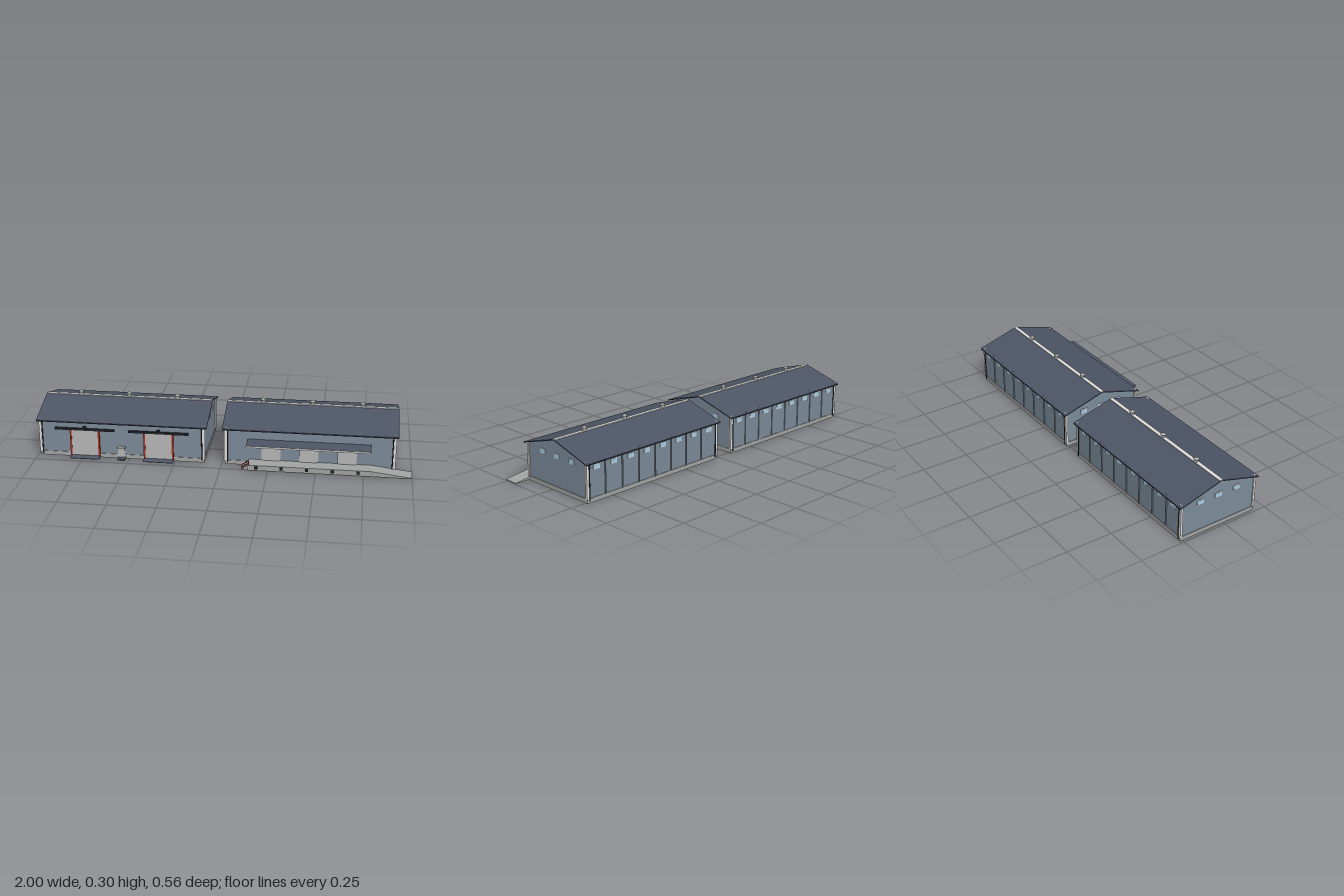
import * as THREE from 'three';

const mat = (name, color) => {
  const m = new THREE.MeshStandardMaterial({ color });
  m.name = name;
  return m;
};

export function createModel() {
  const wall = mat('wall blue grey', 0x7c8c9a);
  const slate = mat('roof slate', 0x4d5566);
  const concrete = mat('concrete', 0xa3a5a4);
  const trim = mat('light trim', 0xe2dfdd);
  const dark = mat('dark metal', 0x24272d);
  const red = mat('red frame', 0xb5301f);
  const glass = mat('window glass', 0xa8d0ea);
  const door = mat('door grey', 0xb7b8b7);

  const model = new THREE.Group();
  model.name = 'warehouses';

  const add = (parent, name, geo, m, x = 0, y = 0, z = 0) => {
    const mesh = new THREE.Mesh(geo, m);
    mesh.name = name;
    mesh.position.set(x, y, z);
    parent.add(mesh);
    return mesh;
  };
  // Box given by its extents on each axis
  const box = (parent, name, m, [x0, x1], [y0, y1], [z0, z1]) =>
    add(parent, name, new THREE.BoxGeometry(x1 - x0, y1 - y0, z1 - z0), m,
      (x0 + x1) / 2, (y0 + y1) / 2, (z0 + z1) / 2);
  // Outline in (z, y) extruded along x, centred
  const alongX = (points, length) => {
    const shape = new THREE.Shape(points.map(([z, y]) => new THREE.Vector2(z, y)));
    return new THREE.ExtrudeGeometry(shape, { depth: length, bevelEnabled: false })
      .translate(0, 0, -length / 2).rotateY(-Math.PI / 2);
  };
  // Outline in (x, y) extruded along z from z0 to z1
  const alongZ = (points, z0, z1) => {
    const shape = new THREE.Shape(points.map(([x, y]) => new THREE.Vector2(x, y)));
    return new THREE.ExtrudeGeometry(shape, { depth: z1 - z0, bevelEnabled: false }).translate(0, 0, z0);
  };
  // Round bar between two points
  const bar = (parent, name, m, a, b, r) => {
    const p = new THREE.Vector3(...a), q = new THREE.Vector3(...b);
    return add(parent, name, new THREE.TubeGeometry(new THREE.LineCurve3(p, q), 1, r, 6), m);
  };

  const ridgeZ = -0.04, front = 0.185, back = -0.265;

  // Framed window facing +z in its own group
  const addWindow = (parent, x, y, z, turn) => {
    const g = new THREE.Group();
    g.name = 'window';
    box(g, 'windowFrame', trim, [-0.0195, 0.0195], [-0.013, 0.013], [-0.002, 0.003]);
    box(g, 'windowPane', glass, [-0.0168, 0.0168], [-0.0103, 0.0103], [0, 0.0038]);
    g.position.set(x, y, z);
    g.rotation.y = turn;
    parent.add(g);
  };

  // Shared hall: base, walls, roof, corners, windows and vents
  const makeHall = (name, cx) => {
    const hall = new THREE.Group();
    hall.name = name;
    hall.position.x = cx;
    model.add(hall);
    box(hall, 'base', concrete, [-0.447, 0.447], [0, 0.023], [back, front]);
    add(hall, 'walls', alongX([[0.182, 0.02], [0.182, 0.206], [ridgeZ, 0.271], [-0.262, 0.206], [-0.262, 0.02]], 0.888), wall);
    add(hall, 'roof', alongX([[0.2, 0.199], [0.2, 0.204], [ridgeZ, 0.274], [-0.278, 0.204], [-0.278, 0.199], [ridgeZ, 0.268]], 0.922), slate);
    box(hall, 'ridgeCap', trim, [-0.461, 0.461], [0.2705, 0.275], [ridgeZ - 0.01, ridgeZ + 0.01]);
    for (const z of [0.198, -0.276])
      box(hall, 'gutter', dark, [-0.46, 0.46], [0.1975, 0.2025], [z - 0.0028, z + 0.0028]);

    for (const s of [-1, 1]) {
      for (const z of [0.184, -0.261]) {
        box(hall, 'cornerColumn', trim, [s * 0.443 - 0.007, s * 0.443 + 0.007], [0.021, 0.209], [z - 0.006, z + 0.006]);
        const pz = z > 0 ? 0.188 : -0.267;
        bar(hall, 'downpipe', dark, [s * 0.433, 0.012, pz], [s * 0.433, 0.2, pz], 0.003);
      }
      for (const z of [0.07, ridgeZ, -0.15]) addWindow(hall, s * 0.444, 0.184, z, s * Math.PI / 2);
    }
    // Back bays
    for (let i = 0; i < 8; i++) {
      addWindow(hall, -0.385 + i * 0.11, 0.176, -0.262, Math.PI);
      if (i) {
        const x = -0.44 + i * 0.11;
        box(hall, 'backPilaster', wall, [x - 0.003, x + 0.003], [0.02, 0.209], [-0.267, -0.26]);
      }
    }
    for (const x of [-0.267, 0, 0.267]) {
      add(hall, 'ventPipe', new THREE.CylinderGeometry(0.011, 0.011, 0.026, 12), concrete, x, 0.278, ridgeZ);
      add(hall, 'ventCap', new THREE.ConeGeometry(0.016, 0.01, 12), concrete, x, 0.295, ridgeZ);
    }
    return hall;
  };

  const gateHall = makeHall('gateHall', -0.539);
  const dockHall = makeHall('dockHall', 0.464);

  // Sliding gates with red jambs, overhead rails and threshold ramps
  for (const x of [-0.2, 0.2]) {
    const g = new THREE.Group();
    g.name = 'slidingGate';
    g.position.x = x;
    gateHall.add(g);
    for (const s of [-1, 1])
      box(g, 'gateJamb', red, [s * 0.076 - 0.0045, s * 0.076 + 0.0045], [0.006, 0.152], [0.18, 0.193]);
    box(g, 'gatePanel', door, [-0.072, 0.072], [0.006, 0.152], [0.182, 0.19]);
    box(g, 'gateRail', dark, [-0.162, 0.162], [0.154, 0.164], [0.182, 0.196]);
    box(g, 'railMotor', dark, [-0.008, 0.008], [0.168, 0.175], [0.181, 0.197]);
    add(g, 'thresholdRamp', alongX([[0.183, 0], [0.22, 0], [0.22, 0.002], [0.183, 0.012]], 0.16), slate);
  }

  // Small side door with frame, step and canopy
  box(gateHall, 'smallDoorFrame', trim, [-0.019, 0.019], [0.01, 0.064], [0.18, 0.189]);
  box(gateHall, 'smallDoor', door, [-0.016, 0.016], [0.01, 0.061], [0.18, 0.191]);
  box(gateHall, 'smallCanopy', concrete, [-0.022, 0.022], [0.066, 0.069], [0.18, 0.206]);
  box(gateHall, 'doorStep', slate, [-0.02, 0.02], [0, 0.009], [0.18, 0.219]);

  // Loading dock, placed in model coordinates
  const dock = new THREE.Group();
  dock.name = 'loadingDock';
  dock.position.x = -dockHall.position.x;
  dockHall.add(dock);
  box(dock, 'dockSlab', concrete, [0.145, 0.79], [0.024, 0.033], [0.18, 0.263]);
  box(dock, 'dockSkirt', concrete, [0.145, 0.79], [0.004, 0.025], [0.25, 0.2625]);
  add(dock, 'dockRamp', alongZ([[0.79, 0.004], [1, 0.004], [1, 0.007], [0.79, 0.033]], 0.18, 0.263), concrete);
  for (let i = 0; i < 3; i++)
    box(dock, 'dockStep', concrete, [0.115 + i * 0.01, 0.146], [0.002, 0.01 + i * 0.008], [0.195, 0.255]);
  for (let i = 0; i < 5; i++) {
    const x = 0.19 + i * 0.133;
    box(dock, 'bumper', dark, [x - 0.008, x + 0.008], [0.015, 0.029], [0.26, 0.27]);
  }

  // Stair railing
  for (const y of [0.02, 0.034])
    bar(dock, 'handrail', red, [0.118, y, 0.258], [0.15, y + 0.022, 0.258], 0.0028);
  for (const [x, y] of [[0.118, 0.005], [0.15, 0.028]])
    bar(dock, 'railPost', red, [x, y, 0.258], [x, y + 0.028, 0.258], 0.0028);

  // Dock doors
  for (const x of [0.262, 0.462, 0.662]) {
    box(dock, 'dockDoor', door, [x - 0.05, x + 0.05], [0.033, 0.132], [0.18, 0.189]);
    box(dock, 'doorHeader', dark, [x - 0.052, x + 0.052], [0.132, 0.136], [0.18, 0.191]);
  }

  // Canopy with light fascia and diagonal braces
  box(dock, 'canopy', slate, [0.138, 0.785], [0.142, 0.148], [0.18, 0.277]);
  box(dock, 'canopyFascia', trim, [0.138, 0.785], [0.139, 0.1478], [0.276, 0.279]);
  for (const x of [0.16, 0.285, 0.395, 0.525, 0.635, 0.765]) {
    bar(dock, 'canopyBrace', dark, [x, 0.105, 0.186], [x, 0.141, 0.272], 0.002);
    box(dock, 'braceFoot', dark, [x - 0.004, x + 0.004], [0.127, 0.137], [0.18, 0.195]);
  }
  return model;
}
